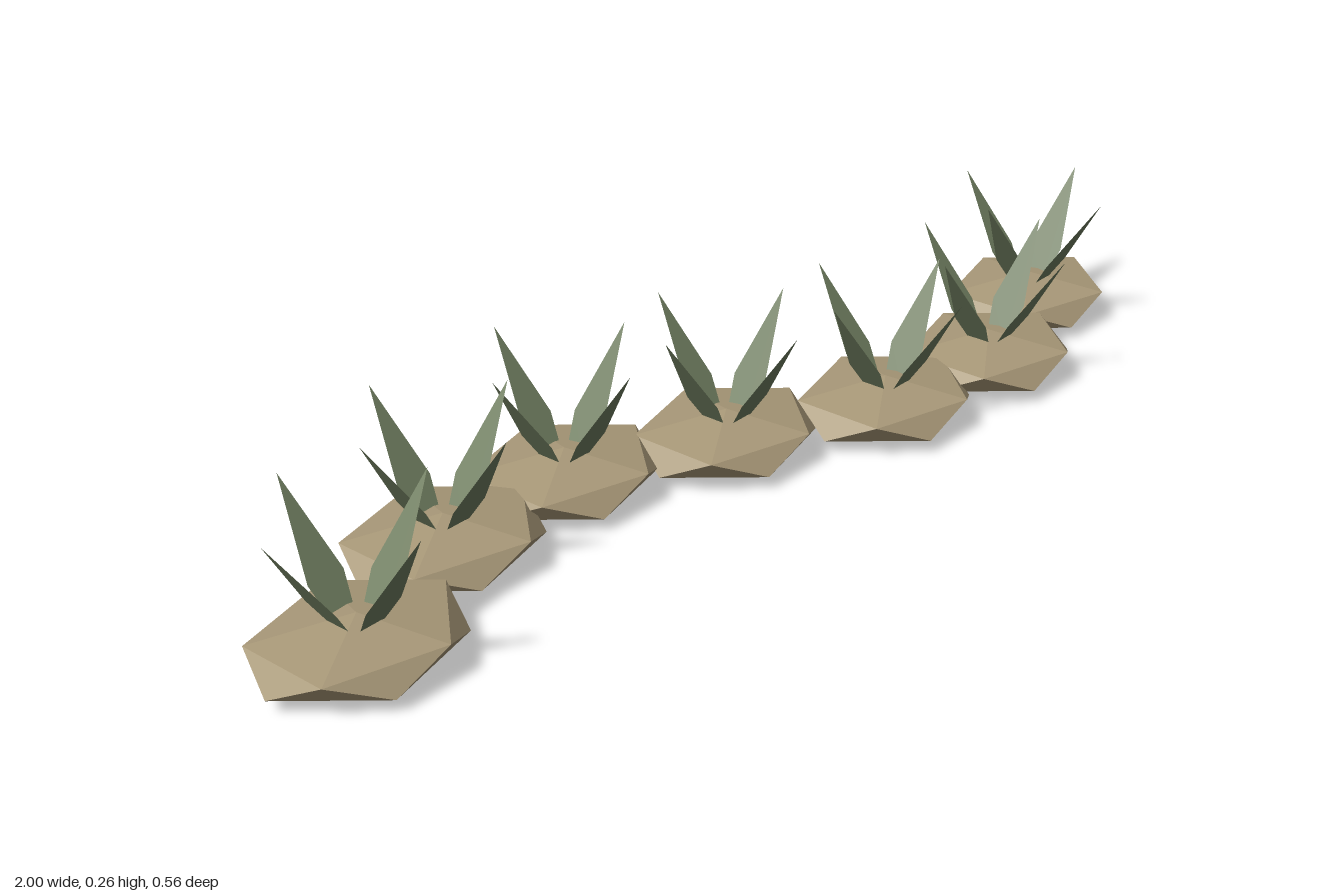
import * as THREE from 'three';

// Faceted stone: a squashed icosahedron standing on one of its corners
function stoneGeometry(rx, ry, rz) {
  const pos = [], h = 1 / Math.sqrt(5), r = 2 * h;
  const ring = (i, y, offset) => {
    const a = (i * 2 * Math.PI) / 5 + offset;
    return [r * Math.cos(a) * rx, y * ry, r * Math.sin(a) * rz];
  };
  const up = (i) => ring(i, h, 0);
  const low = (i) => ring(i, -h, Math.PI / 5);
  for (let i = 0; i < 5; i++) {
    pos.push(...[0, ry, 0], ...up(i + 1), ...up(i));
    pos.push(...up(i), ...up(i + 1), ...low(i));
    pos.push(...up(i + 1), ...low(i + 1), ...low(i));
    pos.push(...[0, -ry, 0], ...low(i), ...low(i + 1));
  }
  const geo = new THREE.BufferGeometry();
  geo.setAttribute('position', new THREE.Float32BufferAttribute(pos, 3));
  geo.computeVertexNormals();
  return geo;
}

// Flat pointed leaf, leaning outwards along +z
function leafGeometry() {
  const shape = new THREE.Shape([
    new THREE.Vector2(-0.018, 0.06),
    new THREE.Vector2(0.018, 0.06),
    new THREE.Vector2(0.033, 0.12),
    new THREE.Vector2(0, 0.257),
    new THREE.Vector2(-0.033, 0.12),
  ]);
  const geo = new THREE.ShapeGeometry(shape);
  const p = geo.attributes.position;
  for (let i = 0; i < p.count; i++) p.setZ(i, 0.15 - (0.257 - p.getY(i)) * 0.65);
  geo.computeVertexNormals();
  return geo;
}

export function createModel() {
  const stoneMat = new THREE.MeshStandardMaterial({ color: 0xa89878 });
  stoneMat.name = 'sandstone';
  const leafMat = new THREE.MeshStandardMaterial({ color: 0x707e60, side: THREE.DoubleSide });
  leafMat.name = 'leafGreen';

  const stoneRY = 0.043;
  const stoneGeo = stoneGeometry(0.19, stoneRY, 0.16);
  const leafGeo = leafGeometry();
  const model = new THREE.Group();
  model.name = 'plantedStoneRow';

  // Winding row of stones, each with four leaves
  const zs = [-0.003, -0.122, -0.132, -0.022, 0.105, 0.133, 0.036];
  zs.forEach((z, i) => {
    const clump = new THREE.Group();
    clump.name = `clump${i + 1}`;
    clump.position.set((i - 3) * 0.2767, 0, z);

    const stone = new THREE.Mesh(stoneGeo, stoneMat);
    stone.name = 'stone';
    stone.position.y = stoneRY;
    clump.add(stone);

    for (let k = 0; k < 4; k++) {
      const leaf = new THREE.Mesh(leafGeo, leafMat);
      leaf.name = `leaf${k + 1}`;
      leaf.rotation.y = (k * Math.PI) / 2;
      clump.add(leaf);
    }
    model.add(clump);
  });
  return model;
}
